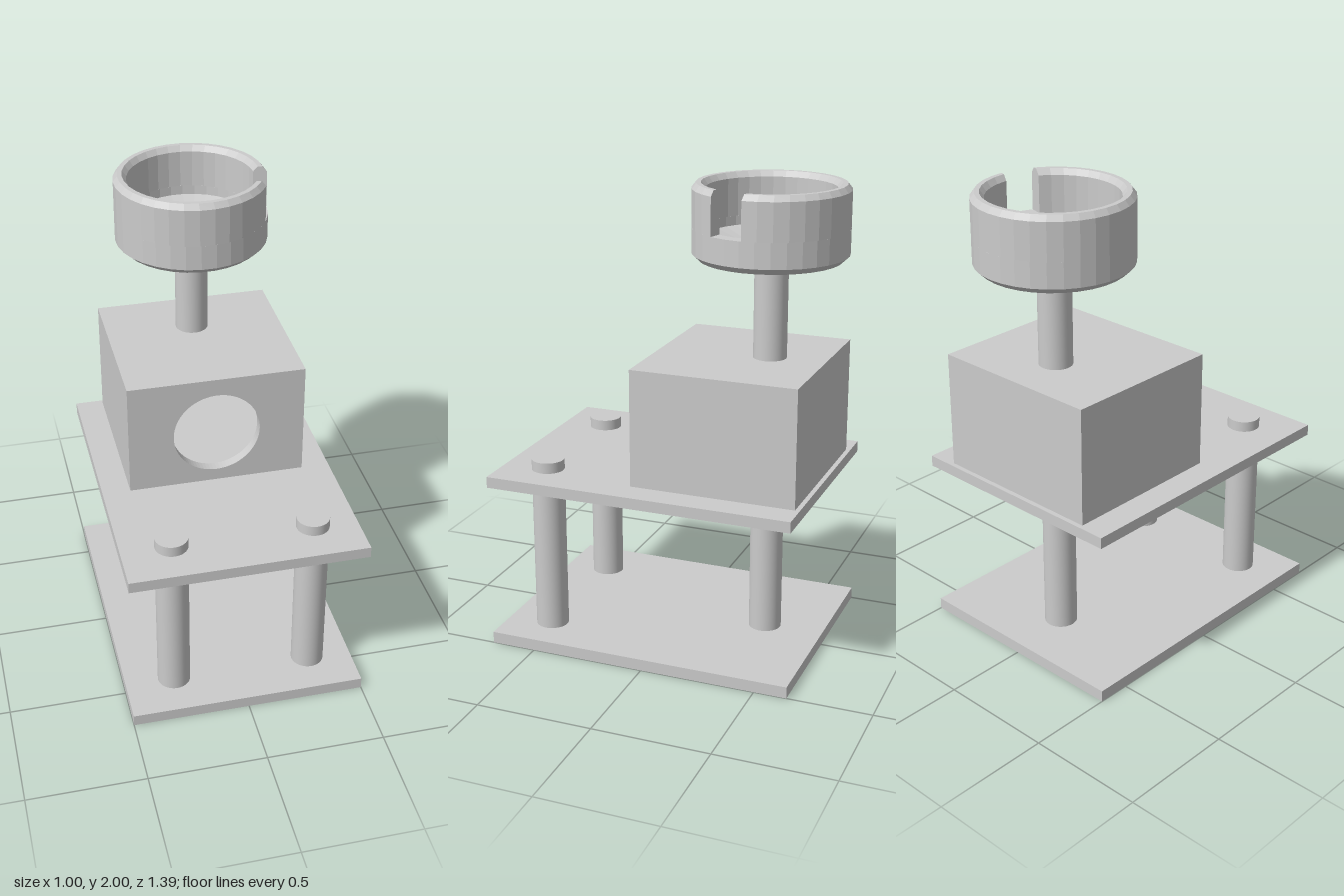
import * as THREE from 'three';

const material = new THREE.MeshStandardMaterial({ color: 0xcccccc });
const faceted = new THREE.MeshStandardMaterial({ color: 0xcccccc, flatShading: true, side: THREE.DoubleSide });

function add(parent, name, geometry, mat = material) {
  const mesh = new THREE.Mesh(geometry, mat);
  mesh.name = name;
  parent.add(mesh);
  return mesh;
}

// Box given by its limits on each axis
function slab(parent, name, [x0, x1], [y0, y1], [z0, z1]) {
  add(parent, name, new THREE.BoxGeometry(x1 - x0, y1 - y0, z1 - z0))
    .position.set((x0 + x1) / 2, (y0 + y1) / 2, (z0 + z1) / 2);
}

function post(parent, name, x, z, y0, y1) {
  add(parent, name, new THREE.CylinderGeometry(0.07, 0.07, y1 - y0, 40)).position.set(x, (y0 + y1) / 2, z);
}

const profile = (pairs) => pairs.map(([r, y]) => new THREE.Vector2(r, y));

// Hollow housing: front panel with a round opening, plain walls and roof
function createHousing() {
  const housing = new THREE.Group();
  housing.name = 'housing';
  const w = 0.38, y0 = 0.772, y1 = 1.275, back = -0.62, front = 0.09, t = 0.045;

  const outline = new THREE.Shape(profile([[-w, y0], [w, y0], [w, y1], [-w, y1]]));
  outline.holes.push(new THREE.Path().absarc(0, 1.012, 0.187, 0, Math.PI * 2, true));
  const panel = new THREE.ExtrudeGeometry(outline, { depth: t, bevelEnabled: false, curveSegments: 40 });
  add(housing, 'frontPanel', panel).position.z = front - t;

  slab(housing, 'backPanel', [-w, w], [y0, y1], [back, back + t]);
  slab(housing, 'rightPanel', [-w, -w + t], [y0, y1], [back + t, front - t]);
  slab(housing, 'leftPanel', [w - t, w], [y0, y1], [back + t, front - t]);
  slab(housing, 'roof', [-w + t, w - t], [y1 - t, y1], [back + t, front - t]);
  return housing;
}

// Shallow dish with a chamfered wall, cut by one straight-sided notch
function createCup() {
  const cup = new THREE.Group();
  cup.name = 'cup';
  const outer = 0.322, inner = 0.266, notchFloor = 1.82, half = 0.072;

  // Solid lower part with the dished floor
  add(cup, 'dish', new THREE.LatheGeometry(profile([
    [0, 1.69], [0.295, 1.69], [outer, 1.715], [outer, notchFloor], [inner, notchFloor],
    [inner, 1.78], [0.165, 1.75], [0.06, 1.738], [0, 1.738],
  ]), 32), faceted);

  // Upper wall runs around from one side of the notch to the other
  const wall = profile([[outer, notchFloor], [outer, 1.977], [0.304, 2], [0.284, 2], [inner, 1.977], [inner, notchFloor]]);
  const ring = new THREE.LatheGeometry(wall, 30);
  const { position, uv } = ring.attributes;
  for (let i = 0; i < position.count; i++) {
    const r = Math.hypot(position.getX(i), position.getZ(i));
    const gap = Math.asin(half / r); // keeps the notch sides parallel
    const phi = Math.PI / 2 + gap + uv.getX(i) * 2 * (Math.PI - gap);
    position.setX(i, r * Math.sin(phi));
    position.setZ(i, r * Math.cos(phi));
  }
  ring.computeVertexNormals();
  add(cup, 'wall', ring, faceted);

  // Flat sides of the notch
  const section = new THREE.Shape(wall.map((p) => new THREE.Vector2(Math.sqrt(p.x ** 2 - half ** 2), p.y)));
  for (const s of [-1, 1]) {
    add(cup, 'notchSide', new THREE.ShapeGeometry(section), faceted).position.z = s * half;
  }

  cup.position.set(-0.004, 0, -0.375);
  cup.rotation.y = -THREE.MathUtils.degToRad(16);
  return cup;
}

export function createModel() {
  const model = new THREE.Group();
  model.name = 'stand';

  // Two equal plates
  slab(model, 'basePlate', [-0.5, 0.5], [0, 0.05], [-0.64, 0.695]);
  slab(model, 'upperPlate', [-0.5, 0.5], [0.724, 0.772], [-0.64, 0.695]);

  // Front posts pass through the upper plate
  post(model, 'rightPost', -0.287, 0.5, 0.05, 0.818);
  post(model, 'leftPost', 0.31, 0.5, 0.05, 0.818);

  // Rear post below the plate and cup stem above the housing
  post(model, 'rearPost', -0.004, -0.38, 0.05, 0.724);
  post(model, 'cupStem', -0.004, -0.38, 1.275, 1.69);

  model.add(createHousing(), createCup());
  return model;
}
